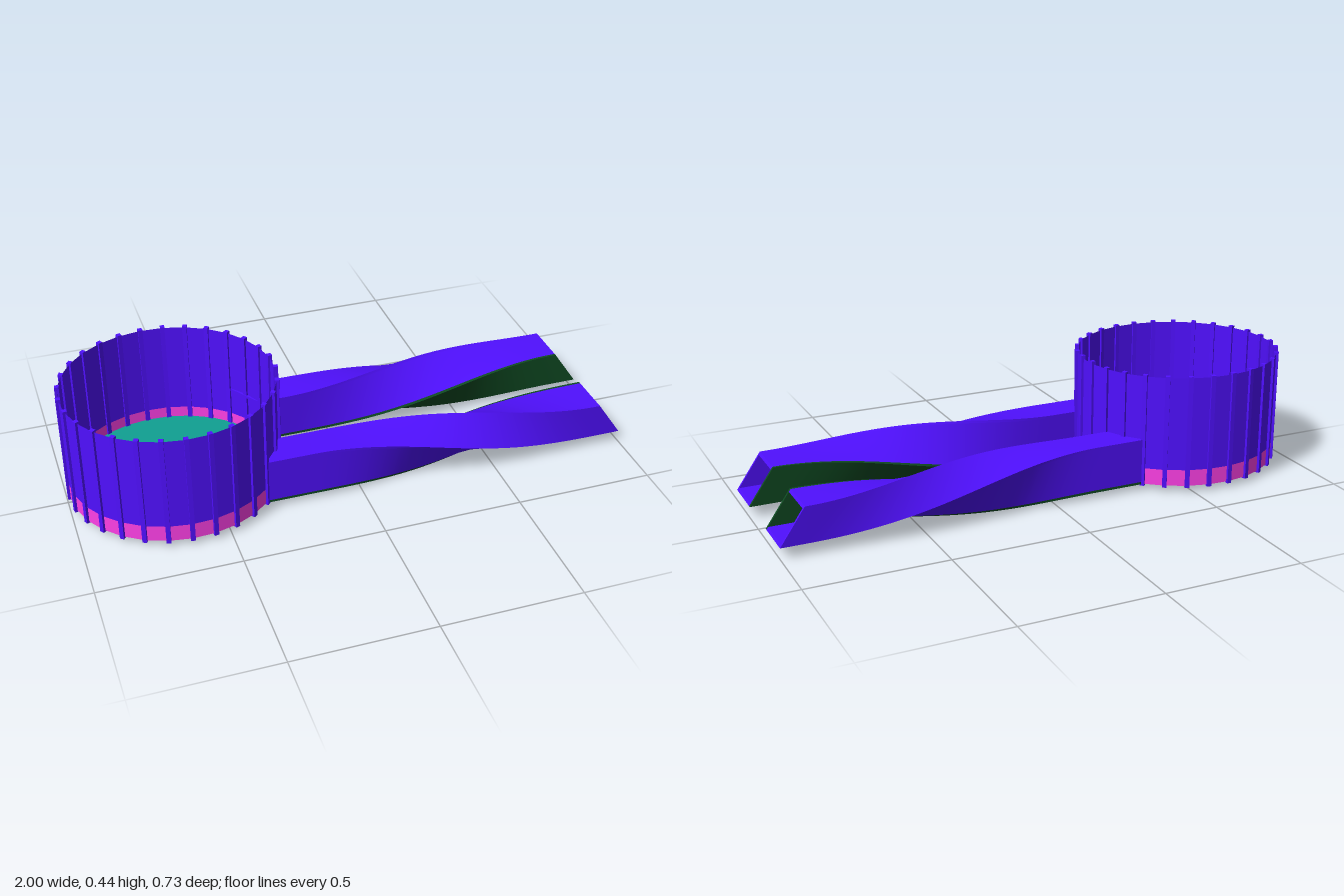
import * as THREE from 'three';

const mat = (color, flatShading = false) =>
  new THREE.MeshStandardMaterial({ color, flatShading, side: THREE.DoubleSide });
const PURPLE = 0x5010ff, PINK = 0xff40e8, TEAL = 0x10a092, GREEN = 0x0f4a22;

// Bucket: slightly oval, 29 staves
const CX = -0.617, RX = 0.374, RZ = 0.358, SIDES = 29;
// Legs: rectangular hollow section turning a quarter turn
const LEG_Y = 0.115, LEG_Z = 0.185, HZ = 0.065, HY = 0.085, T = 0.009;

function named(name, geometry, material) {
  const mesh = new THREE.Mesh(geometry, material);
  mesh.name = name;
  return mesh;
}

// Open oval ring between two heights
function ring(name, y0, y1, color) {
  const g = new THREE.CylinderGeometry(1, 1, y1 - y0, SIDES, 1, true, -Math.PI / 2);
  g.scale(RX, 1, RZ);
  g.translate(CX, (y0 + y1) / 2, 0);
  return named(name, g, mat(color, true));
}

function createBucket() {
  const bucket = new THREE.Group();
  bucket.name = 'bucket';
  bucket.add(ring('bucketWall', 0.09, 0.435, PURPLE), ring('baseBand', 0.03, 0.09, PINK));

  const floor = new THREE.CylinderGeometry(1, 1, 0.02, SIDES, 1, false, -Math.PI / 2);
  floor.scale(RX - 0.002, 1, RZ - 0.002);
  floor.translate(CX, 0.04, 0);
  bucket.add(named('bucketFloor', floor, mat(TEAL, true)));

  // Upright ribs over every joint; the two between the legs stand a little taller
  for (let i = 0; i < SIDES; i++) {
    const a = Math.PI + (i / SIDES) * Math.PI * 2;
    const front = Math.cos(a) > 0.98;
    const top = front ? 0.447 : 0.442;
    const rib = named('rib', new THREE.BoxGeometry(0.016, top - 0.025, 0.016), mat(PURPLE));
    rib.position.set(CX + RX * Math.cos(a), (top + 0.025) / 2, RZ * Math.sin(a));
    rib.rotation.y = -a;
    bucket.add(rib);
  }
  return bucket;
}

// Point on a leg: t runs along it, (z, y) lies in its section, side mirrors it
function legPoint(t, z, y, side) {
  const start = CX + RX * Math.sqrt(1 - ((LEG_Z + z) / RZ) ** 2) - 0.002;
  const end = 0.955 + 0.69 * z; // slanted tip
  const x = THREE.MathUtils.lerp(start, end, t);
  const a = THREE.MathUtils.smoothstep(x, -0.17, 0.9) * Math.PI / 2;
  const c = Math.cos(a), s = Math.sin(a);
  return [x, LEG_Y + y * c - z * s, side * (LEG_Z + z * c + y * s)];
}

// One twisted wall of a leg, swept from a rectangle in the section
function legPanel(name, z0, z1, y0, y1, side, color) {
  const n = 48, pos = [], index = [];
  const corners = [[z0, y0], [z1, y0], [z1, y1], [z0, y1]];
  const quad = (a, b, c, d) =>
    index.push(...(side > 0 ? [a, b, c, c, b, d] : [a, c, b, c, d, b]));
  for (let k = 0; k < 4; k++) {
    const base = pos.length / 3;
    for (let i = 0; i <= n; i++) {
      pos.push(...legPoint(i / n, ...corners[k], side));
      pos.push(...legPoint(i / n, ...corners[(k + 1) % 4], side));
      const a = base + 2 * i;
      if (i < n) quad(a, a + 2, a + 1, a + 3);
    }
  }
  // End caps
  for (const t of [0, 1]) {
    const b = pos.length / 3;
    for (const c of corners) pos.push(...legPoint(t, ...c, side));
    if (t) quad(b, b + 3, b + 1, b + 2);
    else quad(b, b + 1, b + 3, b + 2);
  }
  const g = new THREE.BufferGeometry();
  g.setAttribute('position', new THREE.Float32BufferAttribute(pos, 3));
  g.setIndex(index);
  g.computeVertexNormals();
  return named(name, g, mat(color));
}

function createLeg(name, side) {
  const leg = new THREE.Group();
  leg.name = name;
  leg.add(
    legPanel('legTopWall', -HZ, HZ, HY - T, HY, side, PURPLE),
    legPanel('legBottomWall', -HZ, HZ, -HY, -HY + T, side, GREEN),
    legPanel('legInnerWall', -HZ, -HZ + T, -HY + T, HY - T, side, PURPLE),
    legPanel('legOuterWall', HZ - T, HZ, -HY + T, HY - T, side, PURPLE));
  return leg;
}

export function createModel() {
  const model = new THREE.Group();
  model.name = 'bucketWithTwistedLegs';
  model.add(createBucket(), createLeg('frontLeg', 1), createLeg('backLeg', -1));
  return model;
}
